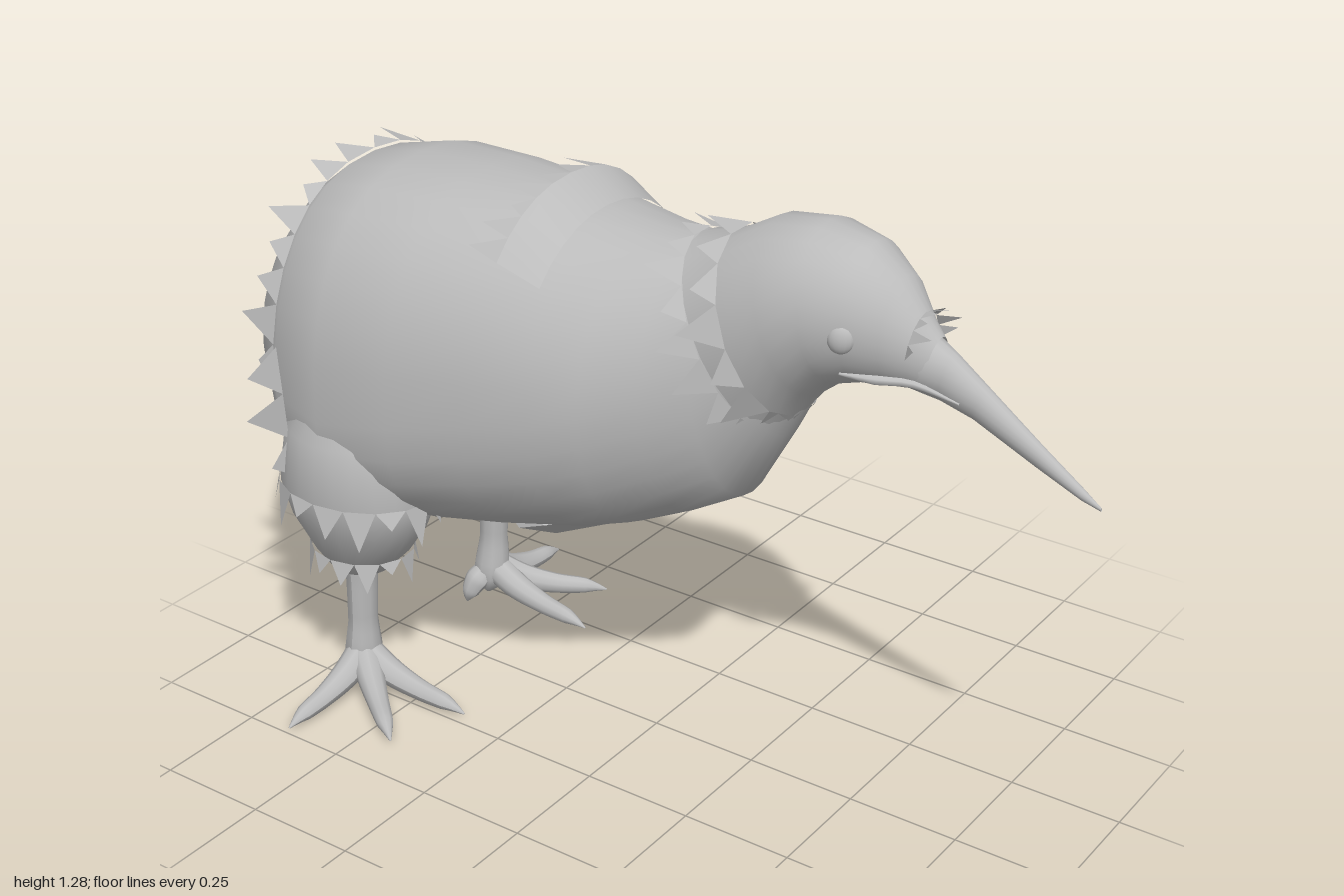
import * as THREE from 'three';

const V = (x, y, z) => new THREE.Vector3(x, y, z);
const plumage = new THREE.MeshStandardMaterial({ color: 0xbcbcbc, side: THREE.DoubleSide });
plumage.name = 'plain grey';

function add(parent, name, geometry) {
  const mesh = new THREE.Mesh(geometry, plumage);
  mesh.name = name;
  parent.add(mesh);
  return mesh;
}

// Skin joining closed rings of points, smooth all round
function loft(rings) {
  const n = rings[0].length, index = [];
  for (let i = 0; i < rings.length - 1; i++) {
    for (let j = 0; j < n; j++) {
      const a = i * n + j, b = i * n + (j + 1) % n;
      index.push(a, b, a + n, b, b + n, a + n);
    }
  }
  const g = new THREE.BufferGeometry().setFromPoints(rings.flat());
  g.setIndex(index);
  g.computeVertexNormals();
  return g;
}

// Slanted, rounded section: [zTop, yTop, zBottom, yBottom, halfWidth, height of widest point 0..1, squareness]
function sectionRing([zt, yt, zb, yb, w, mid = 0.5, e = 2], n = 32, grow = 0) {
  const pts = [];
  const bend = v => Math.sign(v) * Math.abs(v) ** (2 / e);
  for (let j = 0; j < n; j++) {
    const a = j / n * Math.PI * 2, s = bend(Math.sin(a));
    const t = s > 0 ? mid + s * (1 - mid) : mid + s * mid;
    pts.push(V(bend(Math.cos(a)) * (w + grow), yb + (yt - yb) * t + s * grow, zb + (zt - zb) * t));
  }
  return pts;
}

// Row of pointed feather tips hanging from a line of points
function fringe(points, reach) {
  const tris = [];
  for (let i = 0; i < points.length - 1; i++) {
    const a = points[i], b = points[i + 1];
    const mid = a.clone().add(b).multiplyScalar(0.5);
    tris.push(a, b, mid.add(reach(mid, 0.8 + 0.35 * Math.sin(i * 2.4))));
  }
  const g = new THREE.BufferGeometry().setFromPoints(tris);
  g.computeVertexNormals();
  return g;
}
const closed = ring => [...ring, ring[0]];

// Tapered tube through [x, y, z, radius] stations
function limb(stations, seg = 16, sides = 10) {
  const curve = new THREE.CatmullRomCurve3(stations.map(s => V(s[0], s[1], s[2])));
  const g = new THREE.TubeGeometry(curve, seg, 1, sides);
  const pos = g.attributes.position, p = V(0, 0, 0);
  for (let i = 0; i <= seg; i++) {
    const c = curve.getPointAt(i / seg);
    const f = curve.getUtoTmapping(i / seg) * (stations.length - 1);
    const k = Math.min(Math.floor(f), stations.length - 2);
    const r = THREE.MathUtils.lerp(stations[k][3], stations[k + 1][3], f - k);
    for (let j = 0; j <= sides; j++) {
      const id = i * (sides + 1) + j;
      p.fromBufferAttribute(pos, id).sub(c).multiplyScalar(r).add(c);
      pos.setXYZ(id, p.x, p.y, p.z);
    }
  }
  g.computeVertexNormals();
  return g;
}

// Thigh, shank, toes and thigh feathers, modelled on the +x side
function makeLeg() {
  const leg = new THREE.Group();
  // [y, centre x, centre z, radius x, radius z]
  const levels = [
    [0.82, 0.23, -0.60, 0.09, 0.10], [0.68, 0.25, -0.60, 0.145, 0.17],
    [0.55, 0.262, -0.60, 0.145, 0.19], [0.46, 0.255, -0.61, 0.125, 0.165],
    [0.38, 0.243, -0.62, 0.098, 0.115], [0.32, 0.235, -0.635, 0.062, 0.07], [0.30, 0.235, -0.64, 0.03, 0.035],
  ];
  const ring = ([y, cx, cz, rx, rz], n, grow = 0) => Array.from({ length: n }, (_, j) => {
    const a = j / n * Math.PI * 2;
    return V(cx + (rx + grow) * Math.cos(a), y, cz + (rz + grow) * Math.sin(a));
  });
  add(leg, 'thigh', loft(levels.map(l => ring(l, 24))));
  // Feather hems around the thigh
  [[2, 16, 0.085, 0.004], [4, 13, 0.065, 0.008]].forEach(([k, n, len, grow]) => {
    const [, cx, cz] = levels[k];
    const hem = closed(ring(levels[k], n, grow));
    add(leg, 'thighFeathers', fringe(hem, (p, v) =>
      V((p.x - cx) * 0.12, -len * v, (p.z - cz) * 0.06)));
  });
  add(leg, 'shank', limb([
    [0.235, 0.36, -0.635, 0.042], [0.235, 0.28, -0.637, 0.036], [0.235, 0.17, -0.642, 0.034],
    [0.232, 0.09, -0.648, 0.044], [0.225, 0.045, -0.652, 0.036], [0.22, 0.02, -0.652, 0.005],
  ]));
  // Three toes fanned outwards
  [[0.225, -0.365], [0.40, -0.43], [0.49, -0.645]].forEach(([x, z]) => {
    const at = (t, y, r) => [0.235 + (x - 0.235) * t, y, -0.645 + (z + 0.645) * t, r];
    add(leg, 'toe', limb([at(0, 0.09, 0.036), at(0.25, 0.054, 0.032), at(0.55, 0.033, 0.024),
      at(0.8, 0.025, 0.019), at(0.9, 0.02, 0.011), at(1, 0.012, 0.002)]));
  });
  add(leg, 'hindToe', limb([[0.225, 0.085, -0.65, 0.025], [0.195, 0.06, -0.665, 0.03],
    [0.178, 0.028, -0.675, 0.02], [0.172, 0.006, -0.68, 0.003]]));
  return leg;
}

export function createModel() {
  const bird = new THREE.Group();
  bird.name = 'bird';

  // Body from tail to neck
  const body = [
    [-1.0, 0.82, -1.0, 0.78, 0.02], [-0.97, 0.93, -0.965, 0.65, 0.13, 0.48],
    [-0.91, 1.03, -0.90, 0.55, 0.215, 0.45], [-0.82, 1.13, -0.82, 0.465, 0.285, 0.42, 2.2],
    [-0.74, 1.19, -0.75, 0.44, 0.345, 0.4, 2.3], [-0.6, 1.22, -0.6, 0.43, 0.385, 0.38, 2.4],
    [-0.42, 1.222, -0.42, 0.45, 0.37, 0.4, 2.35], [-0.25, 1.215, -0.25, 0.475, 0.343, 0.44, 2.25],
    [-0.1, 1.198, -0.1, 0.505, 0.312, 0.47, 2.1], [0.0, 1.19, 0.0, 0.535, 0.278, 0.5],
    [0.1, 1.19, 0.12, 0.592, 0.222, 0.52], [0.16, 1.195, 0.24, 0.66, 0.175, 0.52],
    [0.22, 1.2, 0.33, 0.82, 0.145], [0.3, 1.2, 0.38, 0.92, 0.11],
  ];
  add(bird, 'body', loft(body.map(s => sectionRing(s))));

  // Pointed belly feathers
  const keel = V(0, 0.40, -0.27);
  const front = V(0, 0.53, 0.0), back = V(0, 0.45, -0.45);
  const flank = [V(0.19, 0.515, -0.22), V(-0.19, 0.515, -0.22)];
  const belly = new THREE.BufferGeometry().setFromPoints([
    front, flank[0], keel, flank[0], back, keel, back, flank[1], keel, flank[1], front, keel]);
  belly.computeVertexNormals();
  add(bird, 'bellyFeathers', belly);

  // Feather edge in front of the rump
  const rump = sectionRing([-0.74, 1.19, -0.75, 0.46, 0.345, 0.4, 2.3], 32, 0.006);
  add(bird, 'rumpFeathers', fringe(rump.slice(0, 17), (p, v) => V(p.x * 0.02, 0.012, -0.08 * v)));
  [1, -1].forEach(s => {
    const side = [V(s * 0.352, 0.86, -0.73), V(s * 0.363, 0.76, -0.71), V(s * 0.365, 0.66, -0.70), V(s * 0.36, 0.57, -0.69)];
    add(bird, 'flankFeathers', fringe(side, (p, v) => V(s * 0.025, -0.03, -0.09 * v)));
  });

  // Raised mantle feathers over the shoulders
  const mantle = [[-0.12, 1.20, -0.12, 0.51, 0.316, 0.47, 2.1], [-0.21, 1.25, -0.21, 0.49, 0.338, 0.45, 2.2]]
    .map(s => sectionRing(s, 40, 0.003).slice(5, 16));
  const cape = new THREE.BufferGeometry().setFromPoints(mantle.flat());
  const quads = [];
  for (let j = 0; j < 10; j++) quads.push(j, j + 11, j + 1, j + 1, j + 11, j + 12);
  cape.setIndex(quads);
  cape.computeVertexNormals();
  add(bird, 'mantle', cape);
  add(bird, 'mantleFeathers', fringe(mantle[1], (p, v) => V(p.x * 0.03, -0.004, -0.085 * v)));

  // Head as a hood that narrows into the bill
  const head = [
    [0.11, 1.2, 0.33, 0.83, 0.166], [0.2, 1.225, 0.36, 0.88, 0.166], [0.29, 1.275, 0.40, 0.93, 0.16],
    [0.4, 1.29, 0.45, 0.97, 0.15], [0.5, 1.268, 0.5, 0.985, 0.125], [0.57, 1.215, 0.56, 0.992, 0.09],
    [0.62, 1.145, 0.6, 0.995, 0.056], [0.65, 1.11, 0.63, 0.99, 0.04],
  ];
  add(bird, 'head', loft(head.map(s => sectionRing(s, 24))));
  const bill = [
    [0.62, 1.12, 0.59, 0.995, 0.05], [0.68, 1.085, 0.66, 0.985, 0.036], [0.75, 1.035, 0.73, 0.965, 0.027],
    [0.87, 0.948, 0.865, 0.903, 0.017], [0.96, 0.885, 0.96, 0.862, 0.01], [1.0, 0.857, 1.0, 0.85, 0.002],
  ];
  add(bird, 'bill', loft(bill.map(s => sectionRing(s, 16))));

  // Ruff of feathers in two layers round the neck
  add(bird, 'ruff', fringe(closed(sectionRing(head[0], 18, 0.004)), (p, v) =>
    V(p.x * 0.2, (p.y - 1.1) * 0.28 * v - 0.015, -0.07 * v)));
  add(bird, 'upperRuff', fringe(closed(sectionRing(head[1], 14, 0.006)), (p, v) =>
    V(p.x * 0.18, (p.y - 1.12) * 0.25 * v - 0.02, -0.075 * v)));

  // Small bristles at the root of the bill
  const brow = sectionRing([0.615, 1.15, 0.6, 1.0, 0.058], 16, 0.004).slice(0, 9);
  add(bird, 'billBristles', fringe(brow, (p, v) => V(p.x * 0.25, 0.012, 0.045 * v)));

  [1, -1].forEach(s => {
    const eye = add(bird, 'eye', new THREE.SphereGeometry(0.03, 16, 12));
    eye.scale.set(0.55, 1, 0.9);
    eye.position.set(s * 0.115, 1.11, 0.5);
    eye.rotation.y = -s * 0.45;
    add(bird, 'mouthEdge', limb([[s * 0.118, 1.04, 0.5, 0.003], [s * 0.088, 1.032, 0.56, 0.01],
      [s * 0.05, 1.025, 0.62, 0.008], [s * 0.03, 1.0, 0.71, 0.002]], 10, 6));
    const leg = makeLeg();
    leg.name = s > 0 ? 'leftLeg' : 'rightLeg';
    leg.scale.x = s;
    bird.add(leg);
  });
  return bird;
}
